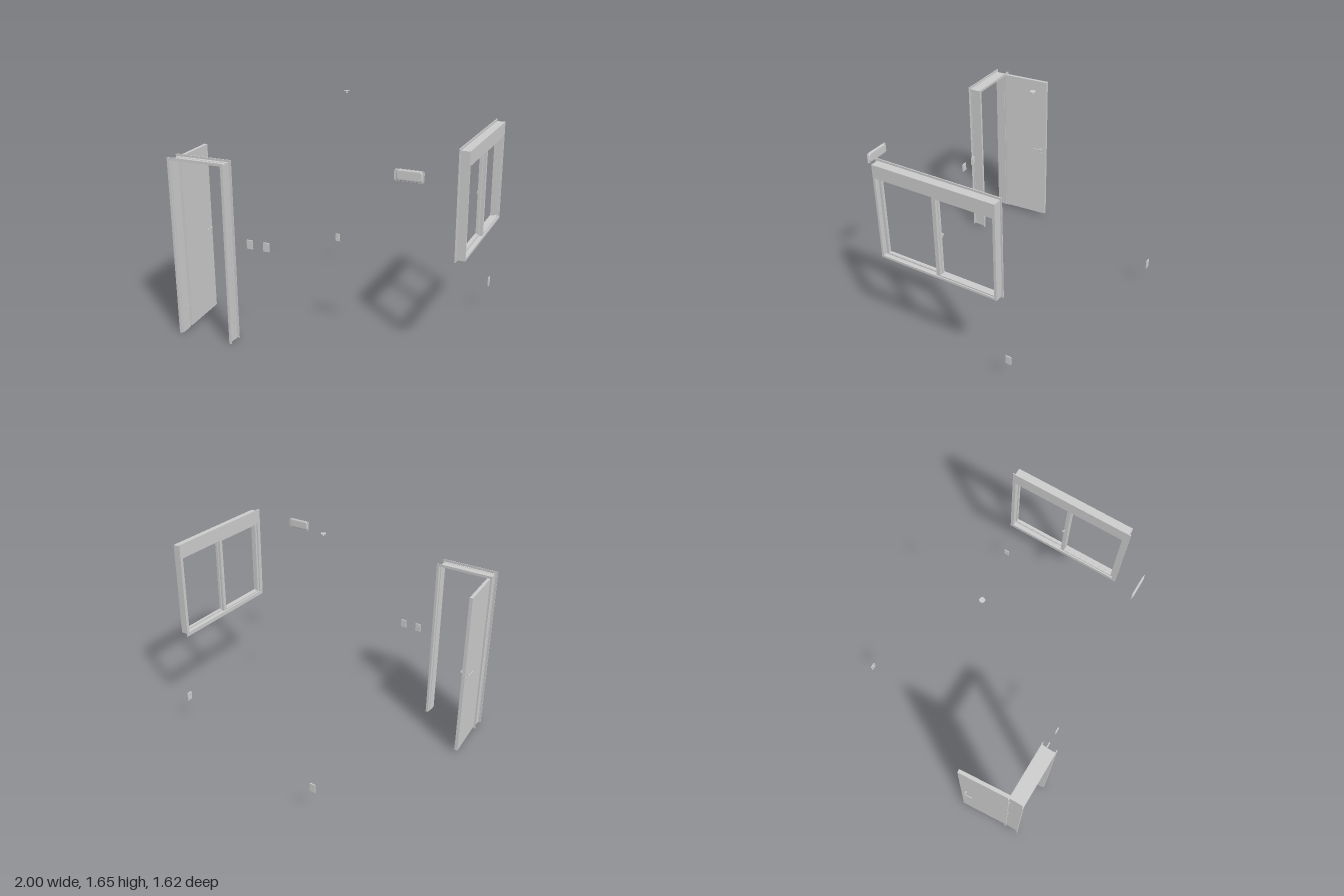
import * as THREE from 'three';

const mat = new THREE.MeshStandardMaterial({ color: 0xcccccc, side: THREE.DoubleSide });

function add(parent, name, geometry, x = 0, y = 0, z = 0) {
  const m = new THREE.Mesh(geometry, mat);
  m.name = name;
  m.position.set(x, y, z);
  parent.add(m);
  return m;
}
const box = (w, h, d) => new THREE.BoxGeometry(w, h, d);
const disc = (r, h, n = 20) => new THREE.CylinderGeometry(r, r, h, n);

function rect(Type, x0, y0, x1, y1) {
  const s = new Type();
  s.moveTo(x0, y0);
  s.lineTo(x1, y0);
  s.lineTo(x1, y1);
  s.lineTo(x0, y1);
  s.closePath();
  return s;
}

function roundedRect(w, h, r) {
  const s = new THREE.Shape(), a = w / 2, b = h / 2;
  s.moveTo(-a + r, -b);
  s.lineTo(a - r, -b);
  s.quadraticCurveTo(a, -b, a, -b + r);
  s.lineTo(a, b - r);
  s.quadraticCurveTo(a, b, a - r, b);
  s.lineTo(-a + r, b);
  s.quadraticCurveTo(-a, b, -a, b - r);
  s.lineTo(-a, -b + r);
  s.quadraticCurveTo(-a, -b, -a + r, -b);
  return s;
}

// Three-sided door surround: i0 and i1 are insets from the outer edge
function surround(half, height, i0, i1, depth) {
  const a = half - i0, b = half - i1;
  const s = new THREE.Shape([[-a, 0], [-b, 0], [-b, height - i1], [b, height - i1],
    [b, 0], [a, 0], [a, height - i0], [-a, height - i0]].map(p => new THREE.Vector2(...p)));
  return new THREE.ExtrudeGeometry(s, { depth, bevelEnabled: false });
}

// Rectangular ring in the z-y plane, thick along x; rectangles are [z0, y0, z1, y1]
function ring(outer, hole, depth) {
  const flip = ([z0, y0, z1, y1]) => [-z1, y0, -z0, y1];
  const s = rect(THREE.Shape, ...flip(outer));
  s.holes.push(rect(THREE.Path, ...flip(hole)));
  return new THREE.ExtrudeGeometry(s, { depth, bevelEnabled: false }).rotateY(Math.PI / 2);
}

function createDoorFrame() {
  const g = new THREE.Group();
  g.name = 'doorFrame';
  g.position.x = -0.749;
  // flanges on both wall faces, rebate and stop between them
  [['innerFlange', 0, 0.019, 0.703, 0.005], ['rebateLining', 0.016, 0.019, 0.705, 0.026],
    ['stopLining', 0.018, 0.023, 0.731, 0.062], ['outerLining', 0.016, 0.019, 0.793, 0.013],
    ['outerFlange', 0, 0.019, 0.804, 0.005]]
    .forEach(([name, i0, i1, z, d]) => add(g, name, surround(0.214, 1.285, i0, i1, d), 0, 0, z));
  return g;
}

function createDoor() {
  const g = new THREE.Group();
  g.name = 'door';
  g.position.set(-0.938, 0, 0.708);
  g.rotation.y = 0.08;
  add(g, 'doorLeaf', box(0.024, 1.25, 0.364), 0, 0.6425, -0.182);
  add(g, 'latchPlate', box(0.012, 0.07, 0.002), 0, 0.65, -0.3645);
  add(g, 'latchBolt', box(0.008, 0.012, 0.006), 0, 0.67, -0.366);
  for (const s of [-1, 1]) {
    const path = new THREE.CatmullRomCurve3([[0.01, -0.325], [0.028, -0.325], [0.034, -0.319],
      [0.035, -0.295], [0.033, -0.264]].map(([x, z]) => new THREE.Vector3(s * x, 0.66, z)));
    add(g, 'leverHandle', new THREE.TubeGeometry(path, 20, 0.004, 8));
    add(g, 'handleRose', disc(0.009, 0.003).rotateZ(Math.PI / 2), s * 0.013, 0.66, -0.325);
    add(g, 'keyRose', disc(0.008, 0.003).rotateZ(Math.PI / 2), s * 0.013, 0.62, -0.325);
    add(g, 'keyhole', box(0.002, 0.008, 0.003), s * 0.0148, 0.62, -0.325);
  }
  // hinges: knuckles in three segments plus a leaf plate
  for (const y of [0.147, 0.66, 1.12]) {
    for (const k of [-1, 0, 1]) add(g, 'hingeKnuckle', disc(0.004, 0.018, 12), -0.009, y + k * 0.02, 0.001);
    add(g, 'hingePlate', box(0.018, 0.058, 0.002), -0.002, y, 0.001);
  }
  return g;
}

function createWindow() {
  const g = new THREE.Group();
  g.name = 'window';
  const hole = [-0.378, 0.768, 0.48, 1.36];
  add(g, 'wallFlange', ring([-0.403, 0.738, 0.511, 1.467], hole, 0.007), 0.929);
  add(g, 'frameWithShutterBox', ring([-0.392, 0.752, 0.495, 1.453], hole, 0.059), 0.935);
  // sliding sashes on two tracks, overlapping at the middle stile
  add(g, 'innerSash', ring([0.033, 0.766, 0.482, 1.362], [0.061, 0.777, 0.461, 1.347], 0.02), 0.94);
  add(g, 'outerSash', ring([-0.38, 0.766, 0.061, 1.362], [-0.369, 0.777, 0.033, 1.347], 0.02), 0.966);
  add(g, 'trackRail', box(0.003, 0.008, 0.858), 0.963, 0.771, 0.051);
  add(g, 'sashLatch', box(0.008, 0.032, 0.008), 0.937, 1.055, 0.036);
  add(g, 'latchTab', box(0.008, 0.012, 0.014), 0.932, 1.06, 0.032);
  return g;
}

// Wall plate facing +z with its back at z = 0
function createPlate(name, w, h, depth) {
  const g = new THREE.Group();
  g.name = name;
  const b = 0.002;
  add(g, 'plate', new THREE.ExtrudeGeometry(roundedRect(w - 2 * b, h - 2 * b, 0.002),
    { depth: depth - b, bevelThickness: b, bevelSize: b, bevelSegments: 2 }));
  return g;
}

function createSocket() {
  const g = createPlate('powerSocket', 0.043, 0.067, 0.006);
  add(g, 'socketRim', new THREE.TorusGeometry(0.011, 0.0012, 6, 24), 0, 0, 0.006);
  for (const s of [-1, 1]) add(g, 'socketPin', disc(0.002, 0.002, 10).rotateX(Math.PI / 2), s * 0.005, 0, 0.0062);
  return g;
}

function createSwitch(split) {
  const g = createPlate('lightSwitch', 0.047, 0.065, 0.005);
  const heights = split ? [[0.008, 0.019], [0.036, -0.006]] : [[0.046, 0]];
  for (const [h, y] of heights) add(g, 'rocker', box(0.032, h, 0.003), 0, y, 0.0055);
  return g;
}

export function createModel() {
  const root = new THREE.Group();
  root.name = 'roomFittings';
  const place = (o, x, y, z, turn = 0) => {
    o.position.set(x, y, z);
    o.rotation.y = turn;
    root.add(o);
  };
  root.add(createDoorFrame(), createDoor(), createWindow());

  place(createSwitch(true), -0.414, 0.72, 0.714, Math.PI);
  place(createSwitch(false), -0.29, 0.72, 0.714, Math.PI);
  place(createSocket(), -0.474, 0.229, -0.814);
  place(createSocket(), 0.938, 0.229, -0.433, -Math.PI / 2);

  // domed wall light with a thin back plate
  const light = new THREE.Group();
  light.name = 'wallLight';
  add(light, 'backPlate', new THREE.ExtrudeGeometry(roundedRect(0.188, 0.075, 0.016),
    { depth: 0.003, bevelEnabled: false }));
  add(light, 'cover', new THREE.ExtrudeGeometry(roundedRect(0.14, 0.045, 0.008),
    { depth: 0.001, bevelThickness: 0.008, bevelSize: 0.014, bevelSegments: 5 }), 0, 0, 0.002);
  place(light, 0.692, 1.327, 0.716, Math.PI);

  // ceiling sprinkler
  const sprinkler = new THREE.Group();
  sprinkler.name = 'ceilingSprinkler';
  add(sprinkler, 'ceilingRose', disc(0.019, 0.003, 28), 0, 0.0165);
  add(sprinkler, 'stem', disc(0.004, 0.014, 12), 0, 0.008);
  add(sprinkler, 'deflector', disc(0.007, 0.0015, 16), 0, 0.001);
  place(sprinkler, -0.046, 1.634, -0.045);
  return root;
}
